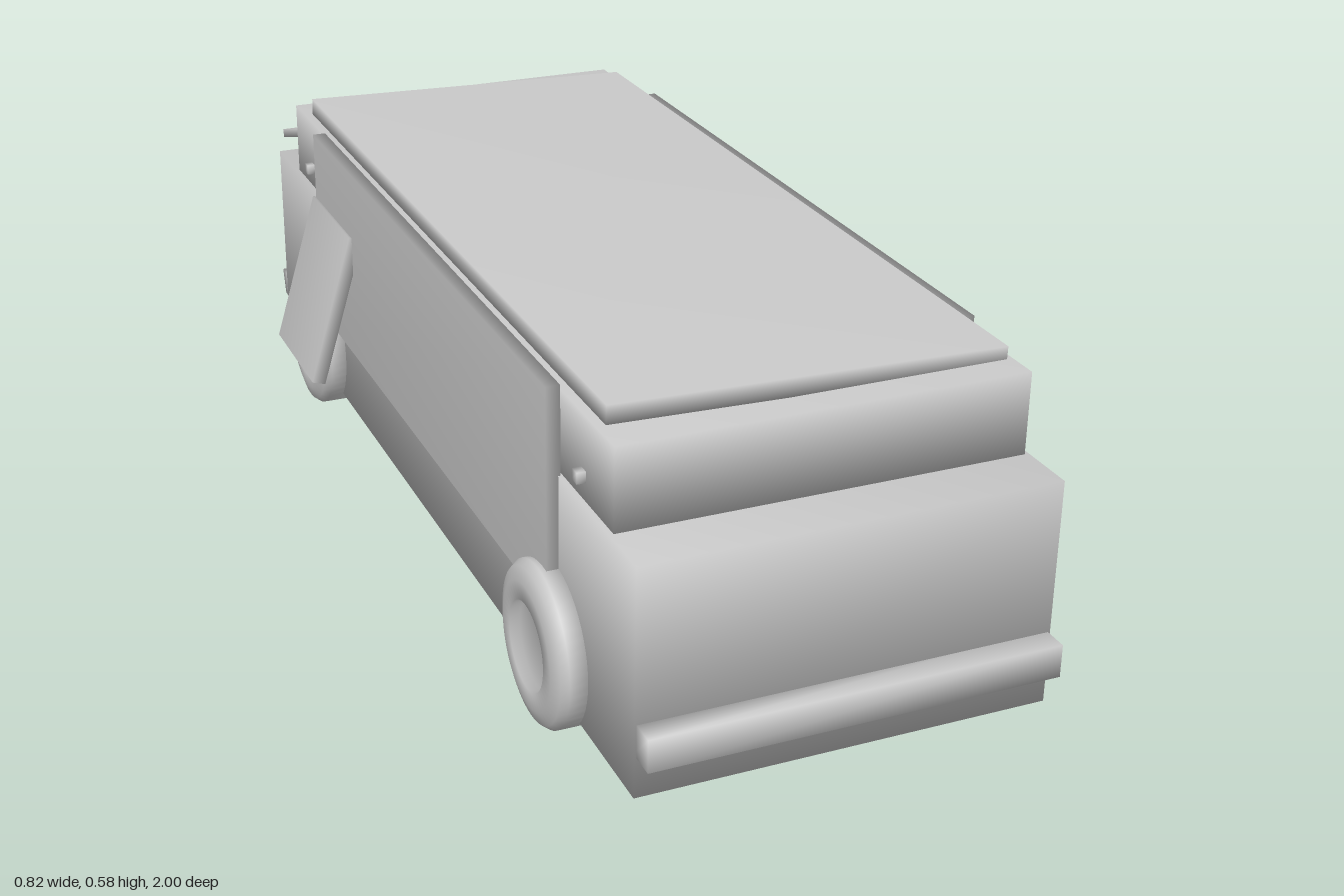
import * as THREE from 'three';
import { mergeVertices } from 'three/addons/utils/BufferGeometryUtils.js';

const material = new THREE.MeshStandardMaterial({ color: 0xcccccc });

// Welds the corners so that shading runs smoothly over the edges
function weld(geometry) {
  geometry.deleteAttribute('normal');
  geometry.deleteAttribute('uv');
  const welded = mergeVertices(geometry, 1e-4);
  welded.computeVertexNormals();
  return welded;
}

export function createModel() {
  const group = new THREE.Group();

  function add(name, geometry, position, rotation = [0, 0, 0]) {
    const mesh = new THREE.Mesh(weld(geometry), material);
    mesh.name = name;
    mesh.position.set(...position);
    mesh.rotation.set(...rotation);
    group.add(mesh);
    return mesh;
  }
  const box = (name, size, position, rotation) =>
    add(name, new THREE.BoxGeometry(...size), position, rotation);

  const midX = 0.028;

  // Main shell, cabin and slightly tilted roof
  box('lowerBody', [0.668, 0.37, 1.84], [midX, 0.23, 0.04]);
  box('cabin', [0.654, 0.14, 1.62], [midX, 0.478, 0.055]);
  box('roof', [0.635, 0.03, 1.48], [midX, 0.562, 0.073], [0, 0, -0.027]);

  // Side panels, the left one leaning out
  box('rightSidePanel', [0.023, 0.36, 1.21], [-0.314, 0.379, 0.07]);
  box('leftSidePanel', [0.023, 0.36, 1.21], [0.367, 0.378, 0.07], [0, 0, 0.033]);

  // Loose flap on the right side
  box('sideFlap', [0.025, 0.285, 0.24], [-0.359, 0.296, -0.42], [0, 0, -0.29]);

  // Rear hatch, hanging open
  box('rearHatch', [0.605, 0.016, 0.225], [midX, 0.456, -0.86], [-0.3, 0, 0]);

  // Bumpers, the rear one crooked with a bent-out piece
  box('frontBumper', [0.661, 0.054, 0.05], [midX, 0.138, 0.975]);
  box('rearBumper', [0.661, 0.054, 0.05], [midX, 0.137, -0.895], [0, 0, 0.068]);
  box('bentBumperPiece', [0.32, 0.085, 0.055], [0.142, 0.177, -0.931], [0, 0.27, 0.03]);

  // Side bolts on the cabin
  for (const z of [0.755, -0.645]) {
    for (const x of [-0.303, 0.357]) {
      box('cabinBolt', [0.02, 0.018, 0.018], [x, 0.454, z]);
    }
  }

  // Wheels: a tyre with a shallow dished hub, turned around the axle
  const profile = [
    [0, -0.031], [0.131, -0.031], [0.131, 0.012], [0.122, 0.024], [0.1, 0.031],
    [0.071, 0.031], [0.068, 0.015], [0, 0.02],
  ].map(([r, y]) => new THREE.Vector2(r, y));
  for (const z of [0.66, -0.577]) {
    for (const side of [-1, 1]) {
      add('wheel', new THREE.LatheGeometry(profile, 48),
        [side > 0 ? 0.376 : -0.322, 0.132, z], [0, 0, -side * Math.PI / 2]);
    }
  }

  return group;
}
